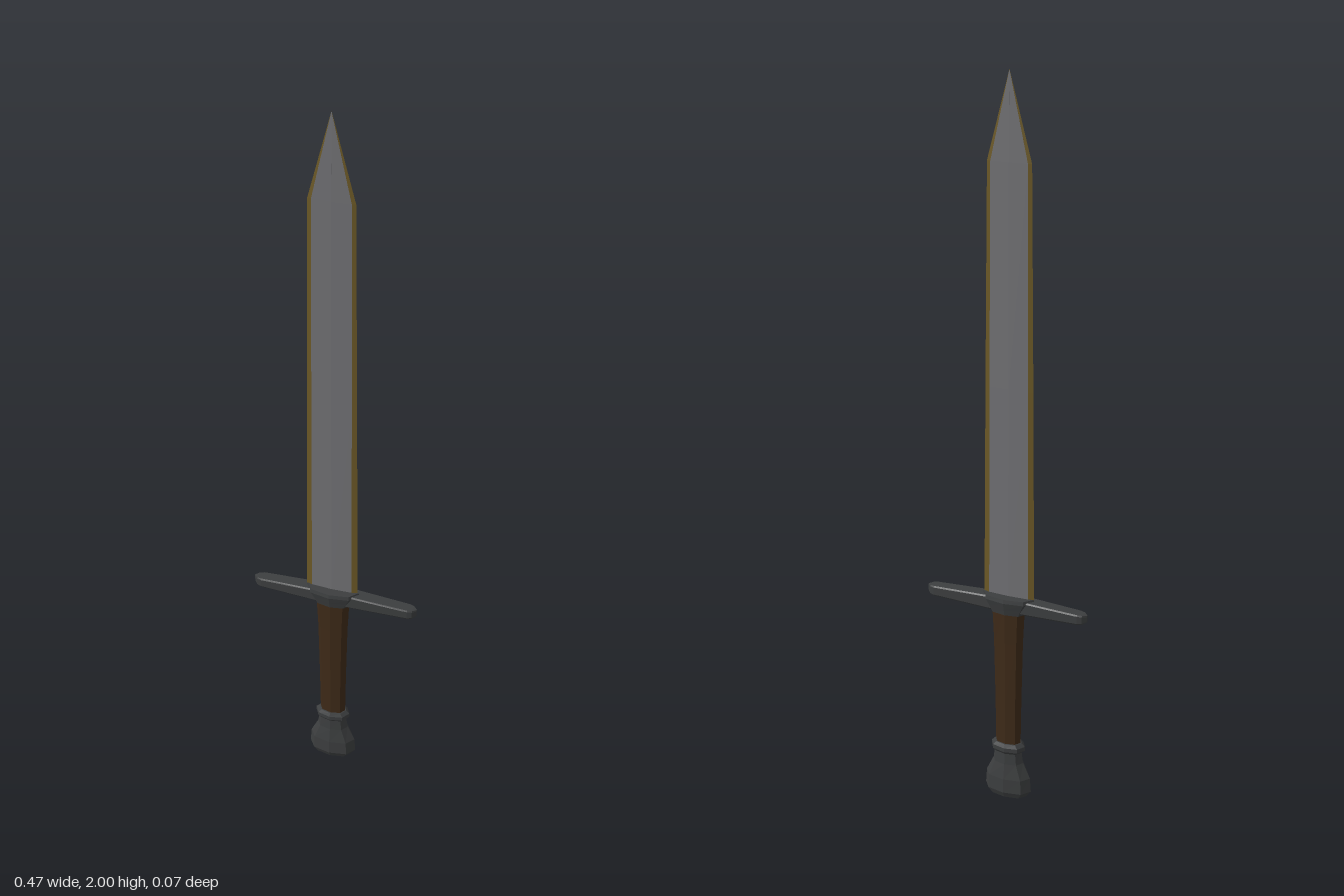
import * as THREE from 'three';

const CX = -0.006; // the blade and handle sit slightly off the guard's middle

// Skins a list of rings (each a list of [x, y, z]); closed rings get end caps.
function loft(rings, closed = true) {
  const pos = [];
  const tri = (a, b, c) => pos.push(...a, ...b, ...c);
  const n = rings[0].length;
  for (let j = 0; j < rings.length - 1; j++) {
    const lo = rings[j], hi = rings[j + 1];
    for (let i = 0; i < (closed ? n : n - 1); i++) {
      const k = (i + 1) % n;
      tri(lo[i], lo[k], hi[k]);
      tri(lo[i], hi[k], hi[i]);
    }
  }
  if (closed) {
    const first = rings[0], last = rings[rings.length - 1];
    for (let i = 1; i < n - 1; i++) {
      tri(first[0], first[i + 1], first[i]);
      tri(last[0], last[i], last[i + 1]);
    }
  }
  const g = new THREE.BufferGeometry();
  g.setAttribute('position', new THREE.Float32BufferAttribute(pos, 3));
  g.computeVertexNormals();
  return g;
}

// Eight-sided outline with a ridge at front and back
const OUTLINE = [[0, 1], [0.72, 0.74], [1, 0], [0.72, -0.74], [0, -1], [-0.72, -0.74], [-1, 0], [-0.72, 0.74]];

// Stacks the outline along y from [height, half width, half depth] steps
const stack = (steps) =>
  loft(steps.map(([y, w, d]) => OUTLINE.map(([u, v]) => [CX + u * w, y, v * d])));

export function createModel() {
  const group = new THREE.Group();
  const mat = (color) => new THREE.MeshStandardMaterial({ color, flatShading: true });
  const steel = mat(0x707073), gold = mat(0x6b5826), iron = mat(0x3c3e3f), wood = mat(0x3e2a18);
  const add = (name, geometry, material) => {
    const mesh = new THREE.Mesh(geometry, material);
    mesh.name = name;
    group.add(mesh);
    return mesh;
  };

  // Pommel: flared foot, slim neck and a collar ring
  add('pommel', stack([
    [0, 0.055, 0.028], [0.018, 0.069, 0.036], [0.06, 0.066, 0.035],
    [0.105, 0.045, 0.028], [0.142, 0.04, 0.026],
  ]), iron);
  add('pommelCollar', stack([
    [0.138, 0.041, 0.026], [0.146, 0.05, 0.031], [0.158, 0.05, 0.031], [0.168, 0.04, 0.026],
  ]), iron);

  // Grip, widening towards the guard
  add('grip', stack([
    [0.16, 0.037, 0.022], [0.3, 0.039, 0.023], [0.48, 0.043, 0.024], [0.58, 0.048, 0.026],
  ]), wood);

  // Guard: central block and two tapering arms with pointed ends
  add('guardBlock', stack([
    [0.568, 0.052, 0.027], [0.585, 0.062, 0.031], [0.606, 0.076, 0.036], [0.617, 0.074, 0.034],
  ]), iron);
  // Each arm section: distance out, bottom, top, half depth
  const armSteps = [
    [0, 0.573, 0.617, 0.022], [0.05, 0.574, 0.613, 0.021], [0.21, 0.577, 0.606, 0.017],
    [0.223, 0.578, 0.605, 0.013], [0.233, 0.583, 0.603, 0.002],
  ];
  const armGeometry = loft(armSteps.map(([x, lo, hi, d]) => {
    const c = 0.004, e = d * 0.85;
    return [
      [x, hi - c, d], [x, lo + c, d], [x, lo, e], [x, lo, -e],
      [x, lo + c, -d], [x, hi - c, -d], [x, hi, -e], [x, hi, e],
    ];
  }));
  add('guardArmLeft', armGeometry, iron);
  add('guardArmRight', armGeometry, iron).rotation.y = Math.PI;

  // Blade sections: height, half width, half width of the steel, ridge depth
  const bladeSteps = [
    [0.6, 0.073, 0.057, 0.007], [1.2, 0.067, 0.054, 0.0055],
    [1.78, 0.06, 0.05, 0.004], [2, 0.0005, 0.0003, 0.0005],
  ];
  const bladeX = CX - 0.002;
  const face = loft(bladeSteps.map(([y, , s, d]) =>
    [[bladeX - s, y, d * 0.6], [bladeX, y, d], [bladeX + s, y, d * 0.6]]), false);
  const edge = loft(bladeSteps.map(([y, w, s, d]) =>
    [[s, y, d * 0.6], [w, y, 0], [s, y, -d * 0.6]]), false);

  // Steel faces, front and back
  add('bladeFront', face, steel);
  const back = add('bladeBack', face, steel);
  back.rotation.y = Math.PI;
  back.position.x = 2 * bladeX;

  // Sharpened edges, left and right
  for (const [name, turn] of [['bladeEdgeLeft', 0], ['bladeEdgeRight', Math.PI]]) {
    const mesh = add(name, edge, gold);
    mesh.rotation.y = turn;
    mesh.position.x = bladeX;
  }
  return group;
}
